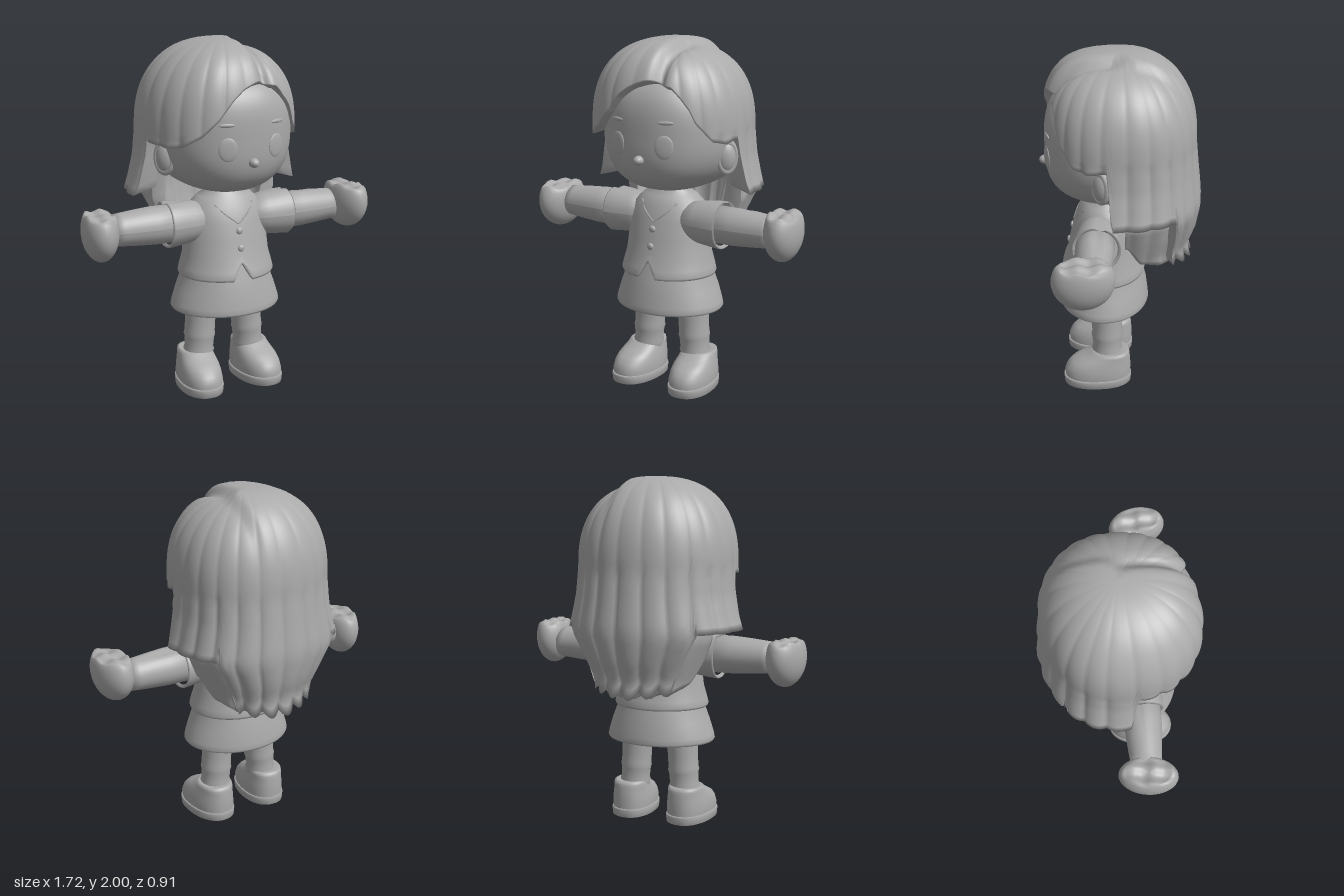
import * as THREE from 'three';

const clay = new THREE.MeshStandardMaterial({ color: 0xaaaaaa });
clay.name = 'clay grey';
const { sin, cos, abs, min, max, PI, pow } = Math;
const signedPow = (t, p) => Math.sign(t) * pow(abs(t), p);

// Linear lookup in rows [key, a, b, ...] with rising keys
function lookup(rows, k) {
  let i = 0;
  while (i < rows.length - 2 && k > rows[i + 1][0]) i++;
  const a = rows[i], b = rows[i + 1];
  const t = min(1, max(0, (k - a[0]) / (b[0] - a[0])));
  return a.slice(1).map((v, j) => v + (b[j + 1] - v) * t);
}

// Smooth surface closed in u; v runs upward on the outside
function grid(nu, nv, f) {
  const pos = [], idx = [];
  for (let j = 0; j <= nv; j++) {
    for (let i = 0; i < nu; i++) pos.push(...f(i / nu, j / nv, j));
  }
  for (let j = 0; j < nv; j++) {
    for (let i = 0; i < nu; i++) {
      const a = j * nu + i, b = j * nu + (i + 1) % nu;
      idx.push(a, b, b + nu, a, b + nu, a + nu);
    }
  }
  const g = new THREE.BufferGeometry();
  g.setAttribute('position', new THREE.Float32BufferAttribute(pos, 3));
  g.setIndex(idx);
  g.computeVertexNormals();
  return g;
}

// Stacked ovals from rows [y, halfWidth, zFront, zBack]
function loft(rows, nu = 48, power = 1, tweak = p => p) {
  return grid(nu, rows.length - 1, (u, v, j) => {
    const [y, w, zf, zb] = rows[j], a = u * 2 * PI;
    return tweak([w * signedPow(sin(a), power), y, (zf + zb) / 2 + (zf - zb) / 2 * signedPow(cos(a), power)]);
  });
}

const dome = (t, n) => pow(max(0, 1 - pow(min(1, abs(t)), n)), 1 / n);

// Head half-widths by height
const headX = y => 0.385 * dome((y - 1.5) / 0.345, 2.4);
const headZ = y => 0.42 * dome((y - 1.5) / 0.345, 3.2);
const faceZ = (x, y) => headZ(y) * dome(x / headX(y), 2.3);

// Hair: lower edge by angle in degrees from the front
const hairEdge = [[-180, 0.83], [-137, 0.86], [-132, 1.16], [-86, 1.16], [-83, 1.47], [-62, 1.455], [-50, 1.465],
  [-35, 1.525], [-23, 1.61], [-13, 1.71], [-6, 1.755], [2, 1.79], [10, 1.81], [23, 1.78], [29, 1.73], [36, 1.66],
  [41, 1.58], [55, 1.475], [68, 1.455], [83, 1.47], [86, 1.16], [132, 1.16], [137, 0.86], [180, 0.83]];
// Hair spread below the dome: [y, width factor, back depth]
const hairFall = [[0.78, 0.76, 0.415], [0.88, 0.78, 0.39], [1, 0.92, 0.435], [1.15, 1.15, 0.46],
  [1.22, 1.1, 0.455], [1.35, 1.03, 0.44], [1.5, 1, 0.425]];

function hairPoint(a, y) {
  // Rounder behind, fuller at the front corners
  const power = 0.9 - 0.05 * cos(a) - 0.08 * sin(a) * max(0, cos(a));
  const sx = signedPow(sin(a), power), cz = signedPow(cos(a), power), t = max(0, (y - 1.5) / 0.5);
  const [wide, back] = lookup(hairFall, y);
  const depth = cz > 0 ? (0.435 - 0.055 * sx) * dome(t, 3) : back * dome(t, 2.4);
  const groove = 1 - (y > 1.5 ? 0.02 : 0.04) * (1 - pow(abs(sin(11 * a + 0.6)), 0.6));
  const x = (0.445 - 0.025 * sx) * wide * dome(t, 2.4) * sx * groove;
  // Parting and the lower lobe on the left
  const part = y > 1.5 ? Math.exp(-pow((x - 0.1) / 0.035, 2)) * min(1, max(0, cz + 0.6)) : 0;
  const lobe = x > 0.1 ? 0.035 * min(1, (x - 0.1) / 0.05) * t : 0;
  return [x, y - 0.05 * part * t - lobe, depth * cz * groove * (1 - 0.1 * part)];
}

function hairCap() {
  return grid(240, 72, (u, v) => {
    const a = u * 2 * PI, deg = u > 0.5 ? u * 360 - 360 : u * 360;
    const outer = v >= 0.5, s = outer ? (1 - v) * 2 : v * 2;
    let [edge] = lookup(hairEdge, deg);
    if (edge < 1.1) edge -= 0.04 * abs(sin(11 * a + 0.6));
    const y = 2 - (2 - edge) * (1 - cos(s * PI / 2));
    const p = hairPoint(a, y);
    if (outer) return p;
    const inset = 0.87 - 0.11 * min(1, max(0, (1.45 - y) / 0.25));
    return [p[0] * inset, p[1] > 1.45 ? 1.45 + (p[1] - 1.45) * 0.9 : p[1], p[2] * inset];
  });
}

// Inner layer of long hair behind the shoulders, a curved slab
function hairSheet() {
  const rows = 24;
  return grid(160, rows, (u, v, j) => {
    const outer = u < 0.5, q = outer ? u * 2 : 2 - u * 2;
    const a = (95 + 170 * q) * PI / 180;
    const low = 0.79 + 0.02 * abs(cos(a * 9)) + 0.18 * pow(abs(sin(a)), 24);
    const y = low + (1.35 - low) * v;
    const k = j === 0 || j === rows ? 0.86 : outer ? 0.95 : 0.77;
    const w = 0.27 + 0.12 * min(1, max(0, (y - 0.8) / 0.3));
    const groove = 1 - 0.025 * (1 - abs(sin(a * 11)));
    return [w * sin(a) * k / 0.95 * groove, y, lookup(hairFall, y)[1] * cos(a) * k * groove];
  });
}

// Flatten the worn upper side of a part with a ragged limit
function wornTop(g, limit) {
  const p = g.attributes.position;
  for (let i = 0; i < p.count; i++) {
    const jag = 0.008 * sin(p.getX(i) * 70) + 0.008 * sin(p.getZ(i) * 55);
    if (p.getY(i) > limit + jag) p.setY(i, limit + jag);
  }
  g.computeVertexNormals();
  return g;
}

export function createModel() {
  const model = new THREE.Group();
  const add = (name, g, x = 0, y = 0, z = 0) => {
    const m = new THREE.Mesh(g, clay);
    m.name = name;
    m.position.set(x, y, z);
    model.add(m);
    return m;
  };
  const ball = (rx, ry, rz) => new THREE.SphereGeometry(1, 32, 20).scale(rx, ry, rz);

  // Head and face
  add('head', grid(64, 40, (u, v) => {
    const a = u * 2 * PI, y = 1.5 - 0.345 * cos(v * PI), cz = signedPow(cos(a), 0.87);
    return [headX(y) * signedPow(sin(a), 0.87), y, headZ(y) * cz * (cz > 0 ? 1 : 0.78)];
  }));
  add('nose', ball(0.028, 0.026, 0.035), 0.01, 1.37, 0.42);
  for (const [name, x] of [['rightEye', -0.135], ['leftEye', 0.155]]) {
    const eye = add(name, ball(0.052, 0.064, 0.009), x, 1.45, faceZ(x, 1.45));
    eye.rotation.y = x * 2.2;
    const brow = add(name + 'Brow', ball(0.045, 0.011, 0.007), x * 1.05, 1.58, faceZ(x * 1.05, 1.58));
    brow.rotation.y = x * 2.2;
  }

  // Hair
  add('hairCap', hairCap());
  add('backHair', hairSheet());

  // Jacket with a notch in the front hem
  const jacketRows = [[0.72, 0.24, 0.3, -0.1], [0.685, 0.265, 0.325, -0.12], [0.682, 0.275, 0.342, -0.138],
    [0.695, 0.28, 0.347, -0.142], [0.73, 0.272, 0.337, -0.135], [0.8, 0.254, 0.312, -0.115],
    [0.9, 0.245, 0.29, -0.1], [1, 0.236, 0.267, -0.09], [1.08, 0.215, 0.24, -0.07],
    [1.13, 0.16, 0.205, -0.04], [1.16, 0.11, 0.165, 0], [1.22, 0.1, 0.15, 0]];
  const notch = ([x, y, z]) => {
    const lift = z > 0 ? max(0, 1 - abs(x + 0.005) / 0.055) * max(0, 1 - (y - 0.68) / 0.15) : 0;
    return [x, y + 0.1 * lift, z - 0.03 * lift];
  };
  add('jacket', loft(jacketRows, 160, 1, notch));
  for (const [y, z] of [[0.955, 0.277], [0.86, 0.298]]) add('button', ball(0.02, 0.02, 0.012), 0, y, z);
  for (const s of [-1, 1]) {
    const line = new THREE.CatmullRomCurve3([new THREE.Vector3(s * 0.115, 1.1, 0.2),
      new THREE.Vector3(s * 0.07, 1.05, 0.242), new THREE.Vector3(0, 0.995, 0.268)]);
    add('neckline', new THREE.TubeGeometry(line, 16, 0.005, 6));
  }

  // Skirt, hollow underneath
  add('skirt', loft([[0.62, 0, 0.095, 0.095], [0.6, 0.23, 0.3, -0.11], [0.5, 0.295, 0.33, -0.135],
    [0.482, 0.305, 0.34, -0.148], [0.48, 0.316, 0.353, -0.16], [0.492, 0.324, 0.357, -0.165],
    [0.52, 0.318, 0.354, -0.162], [0.6, 0.292, 0.34, -0.152], [0.68, 0.261, 0.322, -0.132],
    [0.82, 0.235, 0.28, -0.1]]));

  for (const s of [-1, 1]) {
    const side = s > 0 ? 'left' : 'right';
    const lathe = pts => new THREE.LatheGeometry(pts.map(p => new THREE.Vector2(...p)), 32).rotateZ(-s * PI / 2);

    // Ear with a raised rim, turned slightly forward
    const ear = add(side + 'Ear', ball(0.05, 0.095, 0.06), s * 0.355, 1.37, 0.085);
    const rim = add(side + 'EarRim', new THREE.TorusGeometry(0.062, 0.018, 10, 28).rotateY(PI / 2).scale(1, 1.28, 0.8), s * 0.368, 1.372, 0.095);
    ear.rotation.y = rim.rotation.y = -s * 0.7;

    // Arm, sleeve and cupped hand
    const z = s > 0 ? 0.13 : 0.105;
    add(side + 'Sleeve', wornTop(lathe([[0, 0.1], [0.1, 0.13], [0.12, 0.22], [0.13, 0.3], [0.136, 0.365],
      [0.13, 0.375], [0.116, 0.36]]), 0.12), 0, 0.995, z - 0.01);
    add(side + 'Forearm', wornTop(lathe([[0, 0.28], [0.108, 0.3], [0.107, 0.45], [0.1, 0.55], [0.092, 0.64],
      [0.088, 0.68], [0, 0.72]]), s > 0 ? 0.095 : 0.11), 0, 1.0, z);
    const hand = add(side + 'Hand', wornTop(ball(0.1, 0.165, 0.167), 0.088), s * 0.757, s > 0 ? 1.03 : 1.005, s > 0 ? 0.17 : 0.11);
    hand.rotation.y = s * 0.12;

    // Leg with sock folds
    const leg = [[0.15, 0.086], [0.2, 0.086], [0.215, 0.09], [0.23, 0.084], [0.29, 0.087], [0.305, 0.092],
      [0.325, 0.088], [0.4, 0.088], [0.5, 0.094], [0.65, 0.1]].map(([y, r]) => [y, r, r, -r]);
    const legMesh = add(side + 'Leg', loft(leg, 32), s * 0.172, 0, 0.075);
    legMesh.rotation.z = s * 0.06;

    // Shoe and sole
    const shoe = new THREE.Group();
    shoe.name = side + 'Shoe';
    const parts = {
      sole: [[0, 0, 0.13, 0.13], [0, 0.11, 0.315, -0.055], [0.006, 0.124, 0.33, -0.066], [0.045, 0.127, 0.334, -0.069],
        [0.055, 0.121, 0.328, -0.064], [0.056, 0, 0.13, 0.13]],
      upper: [[0.04, 0.118, 0.322, -0.062], [0.08, 0.122, 0.327, -0.064], [0.12, 0.117, 0.31, -0.064],
        [0.15, 0.111, 0.28, -0.062], [0.175, 0.104, 0.23, -0.06], [0.195, 0.1, 0.185, -0.058],
        [0.212, 0.096, 0.165, -0.052], [0.216, 0.084, 0.15, -0.035], [0.2, 0, 0.075, 0.075]],
    };
    for (const [name, rows] of Object.entries(parts)) {
      const m = new THREE.Mesh(loft(rows, 48, 0.88), clay);
      m.name = name;
      shoe.add(m);
    }
    shoe.position.x = s * 0.172;
    shoe.rotation.y = s * 0.09;
    model.add(shoe);
  }
  return model;
}
